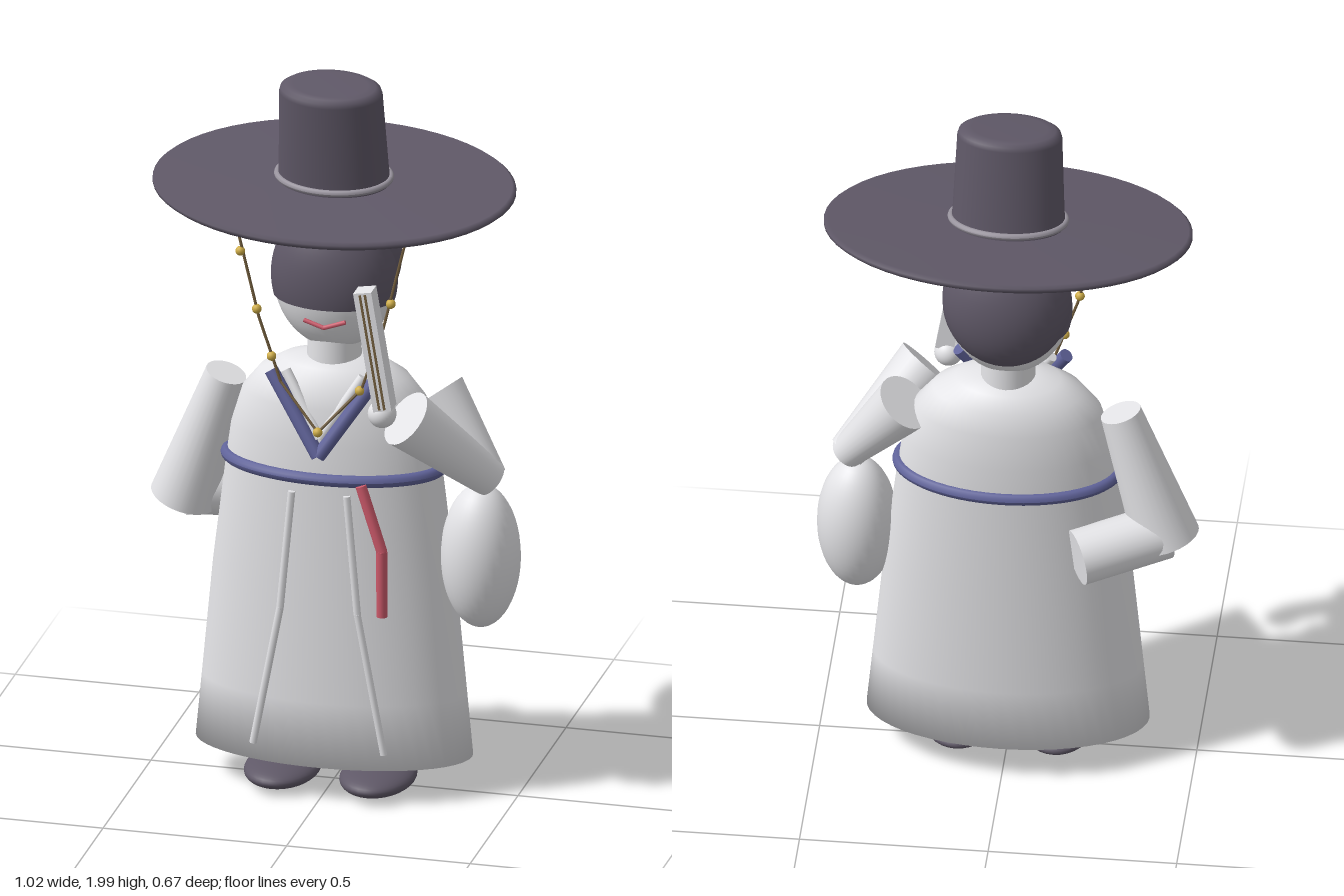
import * as THREE from 'three';
import { mergeVertices } from 'three/addons/utils/BufferGeometryUtils.js';

const mat = (name, color) => {
  const m = new THREE.MeshStandardMaterial({ color });
  m.name = name;
  return m;
};
const V = (p) => new THREE.Vector3(...p);

export function createModel() {
  const white = mat('white cloth', 0xe4e4e7);
  const black = mat('dark horsehair', 0x5f5867);
  const grey = mat('grey band', 0x98939d);
  const blue = mat('blue trim', 0x60639a);
  const red = mat('red ribbon', 0xcd5a6b);
  const gold = mat('gold bead', 0xd0ae48);
  const brown = mat('brown cord', 0x75603f);
  white.side = black.side = THREE.DoubleSide;

  const model = new THREE.Group();
  const add = (name, geo, m, pos = [0, 0, 0], parent = model) => {
    const mesh = new THREE.Mesh(geo, m);
    mesh.name = name;
    mesh.position.set(...pos);
    parent.add(mesh);
    return mesh;
  };
  const ball = (name, pos, r, m, segs = 32) => {
    const [x, y, z] = Array.isArray(r) ? r : [r, r, r];
    return add(name, new THREE.SphereGeometry(1, segs, segs * 0.75).scale(x, y, z), m, pos);
  };
  // Tapered cylinder between two points
  const limb = (name, from, to, r1, r2, m, sides = 28) => {
    const a = V(from), d = V(to).sub(a);
    const mesh = add(name, new THREE.CylinderGeometry(r2, r1, d.length(), sides), m);
    mesh.position.copy(a).addScaledVector(d, 0.5);
    mesh.quaternion.setFromUnitVectors(new THREE.Vector3(0, 1, 0), d.normalize());
    return mesh;
  };
  // Rods joined along a bent line
  const rods = (name, pts, r, m, sides = 10) => {
    for (let i = 0; i < pts.length - 1; i++) {
      limb(name, pts[i], pts[i + 1], r, r, m, sides);
      if (i) ball(name + 'Joint', pts[i], r, m, 10);
    }
  };
  const ellipseRing = (rx, rz, tube) => {
    const g = new THREE.TorusGeometry(1, tube, 12, 64).rotateX(Math.PI / 2);
    const p = g.attributes.position;
    for (let i = 0; i < p.count; i++) {
      const x = p.getX(i), z = p.getZ(i), l = Math.hypot(x, z);
      p.setX(i, (x / l) * (rx + l - 1));
      p.setZ(i, (z / l) * (rz + l - 1));
    }
    g.computeVertexNormals();
    return g;
  };

  // Robe: rings of half-width and half-depth, flattened front to back
  const rings = [[0.1, 0, 0], [0.1, 0.375, 0.18], [0.28, 0.358, 0.176], [0.6, 0.328, 0.168], [0.9, 0.292, 0.16],
    [1.0, 0.278, 0.156], [1.1, 0.248, 0.145], [1.16, 0.2, 0.122], [1.195, 0.14, 0.092], [1.21, 0.07, 0.06], [1.21, 0, 0]];
  let robe = new THREE.LatheGeometry(rings.map(([y, rx]) => new THREE.Vector2(rx, y)), 48);
  const rp = robe.attributes.position;
  for (let i = 0; i < rp.count; i++) {
    const [, rx, rz] = rings[i % rings.length];
    if (rx) rp.setZ(i, (rp.getZ(i) * rz) / rx);
  }
  robe.deleteAttribute('uv');
  robe.deleteAttribute('normal');
  robe = mergeVertices(robe);
  robe.computeVertexNormals();
  add('robe', robe, white);
  add('belt', ellipseRing(0.29, 0.158, 0.017), blue, [0, 0.91, 0]);

  // Collar, robe tapes, shoes and hat cords on both sides
  for (const s of [-1, 1]) {
    limb('collar', [s * 0.142, 1.19, 0.115], [0, 0.98, 0.17], 0.019, 0.019, blue, 12);
    limb('innerCollar', [s * 0.105, 1.19, 0.105], [0, 1.025, 0.155], 0.014, 0.014, white, 12);
    rods('robeTape', [[s * 0.075, 0.87, 0.16], [s * 0.105, 0.54, 0.165], [s * 0.178, 0.15, 0.168]], 0.01, white, 8);
    ball('shoe', [s * 0.13, 0.039, 0.04], [0.1, 0.037, 0.143], black);
    rods('hatCord', [[s * 0.23, 1.6, 0.14], [s * 0.17, 1.35, 0.14], [s * 0.11, 1.17, 0.14], [0, 1.05, 0.175]], 0.004, brown, 6);
  }
  for (const [x, y] of [[-0.22, 1.53], [-0.175, 1.37], [-0.135, 1.24], [0.23, 1.6], [0.19, 1.42], [0.105, 1.165]])
    ball('bead', [x, y, 0.14], 0.013, gold, 12);
  ball('bead', [0, 1.05, 0.175], 0.013, gold, 12);

  // Ribbon hanging from the belt
  rods('ribbon', [[0.115, 0.905, 0.165], [0.175, 0.73, 0.177], [0.175, 0.545, 0.174]], 0.015, red, 10);

  // Head, hair and mouth
  limb('neck', [0, 1.15, 0], [0, 1.27, 0], 0.075, 0.07, white);
  ball('head', [0, 1.43, 0], [0.165, 0.2, 0.123], white);
  add('headband', new THREE.SphereGeometry(1, 36, 20, 0, Math.PI * 2, 0, 1.845).scale(0.17, 0.205, 0.128), black, [0, 1.43, 0]);
  ball('hair', [0, 1.48, -0.045], [0.17, 0.188, 0.125], black).rotation.x = 0.12;
  rods('mouth', [[-0.055, 1.338, 0.108], [0, 1.322, 0.112], [0.058, 1.342, 0.108]], 0.006, red, 8);

  // Arm folded behind the back
  limb('rightUpperSleeve', [-0.3, 1.115, -0.02], [-0.425, 0.74, -0.055], 0.055, 0.09, white);
  limb('rightForearm', [-0.42, 0.765, -0.06], [-0.2, 0.74, -0.17], 0.075, 0.075, white);

  // Raised arm with hanging sleeve
  limb('leftUpperSleeve', [0.27, 1.11, -0.03], [0.43, 0.9, 0.015], 0.08, 0.045, white);
  limb('leftForearm', [0.43, 0.9, 0.015], [0.235, 1.105, 0.155], 0.05, 0.08, white);
  ball('hangingSleeve', [0.402, 0.68, 0.013], [0.106, 0.2, 0.106], white);
  ball('hand', [0.178, 1.125, 0.185], 0.038, white);

  // Folded fan with cord-coloured ribs
  const fan = new THREE.Group();
  fan.name = 'fan';
  fan.position.set(0.16, 1.31, 0.193);
  fan.rotation.z = 0.165;
  model.add(fan);
  add('fanBody', new THREE.BoxGeometry(0.05, 0.335, 0.054), white, [0, 0, 0], fan);
  for (const x of [-0.007, 0.007])
    add('fanRib', new THREE.BoxGeometry(0.006, 0.325, 0.006), brown, [x, 0, 0.027], fan);

  // Wide hat, tipped forward
  const hat = new THREE.Group();
  hat.name = 'hat';
  hat.position.set(0, 1.687, 0);
  hat.rotation.x = 0.134;
  model.add(hat);
  const lathe = (pts, zScale) =>
    new THREE.LatheGeometry(pts.map((p) => new THREE.Vector2(...p)), 56).scale(1, 1, zScale);
  add('brim', lathe([[0, -0.012], [0.478, -0.012], [0.488, -0.004], [0.488, 0.004], [0.478, 0.012], [0, 0.018]], 0.69), black, [0, 0, 0], hat);
  add('crown', lathe([[0.152, 0.005], [0.148, 0.06], [0.139, 0.278], [0.135, 0.291], [0.122, 0.299], [0.1, 0.301], [0, 0.301]], 0.68), black, [0, 0, 0], hat);
  add('crownBand', ellipseRing(0.152, 0.104, 0.009), grey, [0, 0.03, 0], hat);

  return model;
}
